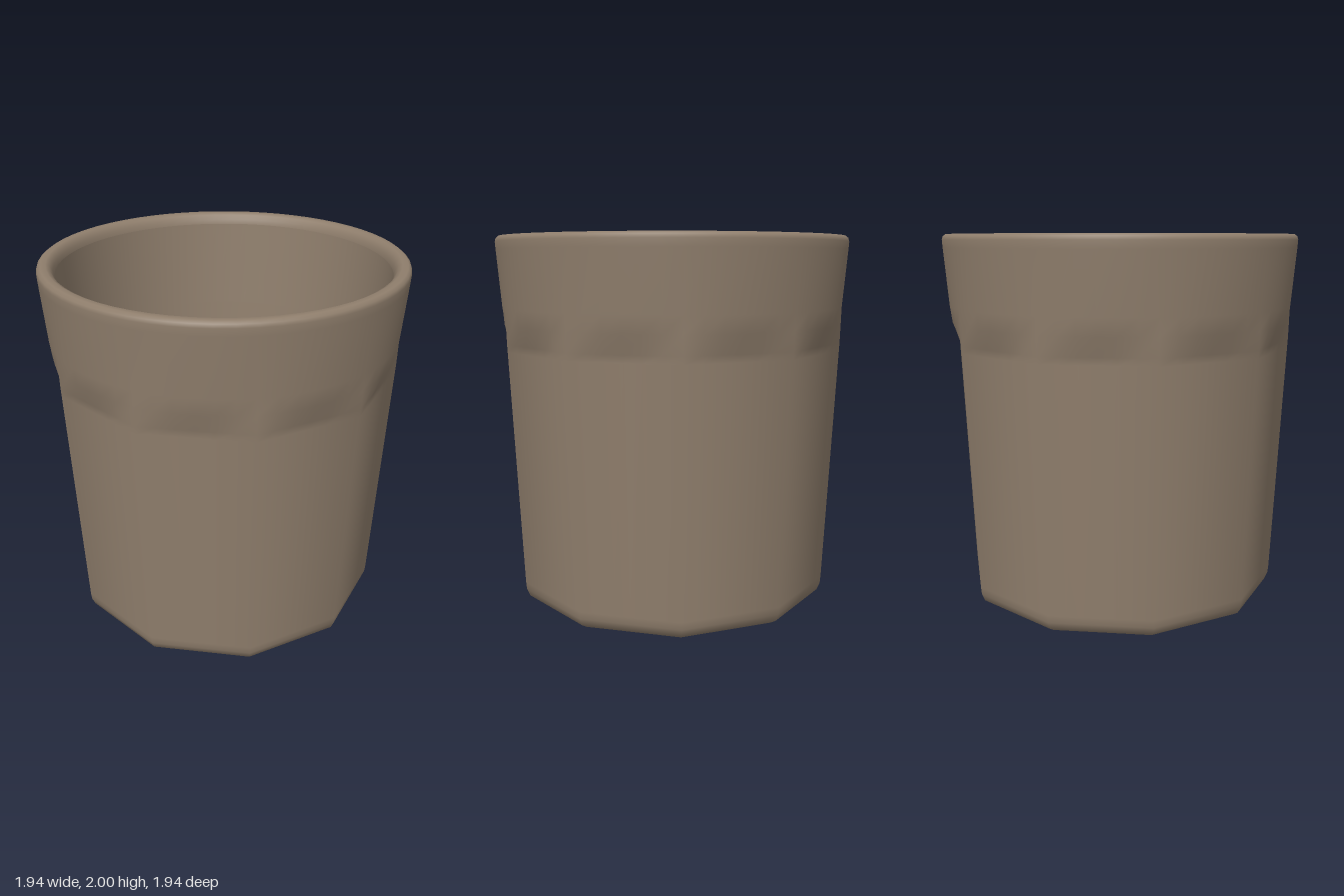
import * as THREE from 'three';

const SIDES = 10;   // flat panels around the lower body
const SEG = 60;     // segments around the cup

// Stacks rings given as [corner radius, y, roundness], where roundness 0 is a decagon and 1 a circle
function ringSurface(rings) {
  const pos = [], index = [];
  const half = Math.PI / SIDES;
  for (const [r, y, round] of rings) {
    for (let i = 0; i < SEG; i++) {
      const a = (i / SEG) * Math.PI * 2;
      const flat = Math.cos(half) / Math.cos((a % (2 * half)) - half);
      const rad = r * (flat + (1 - flat) * round);
      pos.push(Math.sin(a) * rad, y, Math.cos(a) * rad);
    }
  }
  for (let k = 0; k < rings.length - 1; k++) {
    for (let i = 0; i < SEG; i++) {
      const j = (i + 1) % SEG;
      const a = k * SEG + i, b = k * SEG + j, c = b + SEG, d = a + SEG;
      if (rings[k][0] > 0) index.push(a, b, c);
      if (rings[k + 1][0] > 0) index.push(a, c, d);
    }
  }
  const geo = new THREE.BufferGeometry();
  geo.setAttribute('position', new THREE.Float32BufferAttribute(pos, 3));
  geo.setIndex(index);
  geo.computeVertexNormals();
  return geo;
}

// Softens panel corners by turning the normals of decagon rings outward from the axis
function softenPanels(geo, rings) {
  const n = geo.attributes.normal;
  rings.forEach(([, , round], k) => {
    if (round > 0) return;
    for (let i = 0; i < SEG; i++) {
      const v = k * SEG + i, a = (i / SEG) * Math.PI * 2;
      const h = Math.sqrt(Math.max(0, 1 - n.getY(v) ** 2));
      n.setXYZ(v, Math.sin(a) * h, n.getY(v), Math.cos(a) * h);
    }
  });
  return geo;
}

export function createModel() {
  const clay = new THREE.MeshStandardMaterial({ color: 0x8f7e6c });
  clay.name = 'taupe clay';
  const cup = new THREE.Group();
  cup.name = 'cup';

  const add = (name, geo) => {
    const mesh = new THREE.Mesh(geo, clay);
    mesh.name = name;
    cup.add(mesh);
  };

  // Underside
  add('base', ringSurface([[0, 0, 0], [0.82, 0, 0]]));

  // Panelled body, ledge, round collar and rim
  const outer = [
    [0.82, 0, 0], [0.853, 0.02, 0], [0.87, 0.06, 0], [0.874, 0.1, 0],
    [0.935, 1.39, 0], [0.937, 1.43, 0],
    [0.94, 1.53, 0.75], [0.941, 1.62, 1],
    [0.967, 1.93, 1], [0.97, 1.97, 1], [0.965, 1.988, 1], [0.95, 2, 1],
    [0.92, 2, 1], [0.9, 1.99, 1], [0.885, 1.965, 1], [0.88, 1.94, 1],
  ];
  add('outerWall', softenPanels(ringSurface(outer), outer));

  // Round tapering inside with the floor blended into it
  add('innerWall', ringSurface([
    [0.88, 1.94, 1], [0.84, 1.45, 1], [0.73, 0.2, 1], [0.7, 0.13, 1], [0, 0.12, 1],
  ]));

  return cup;
}
